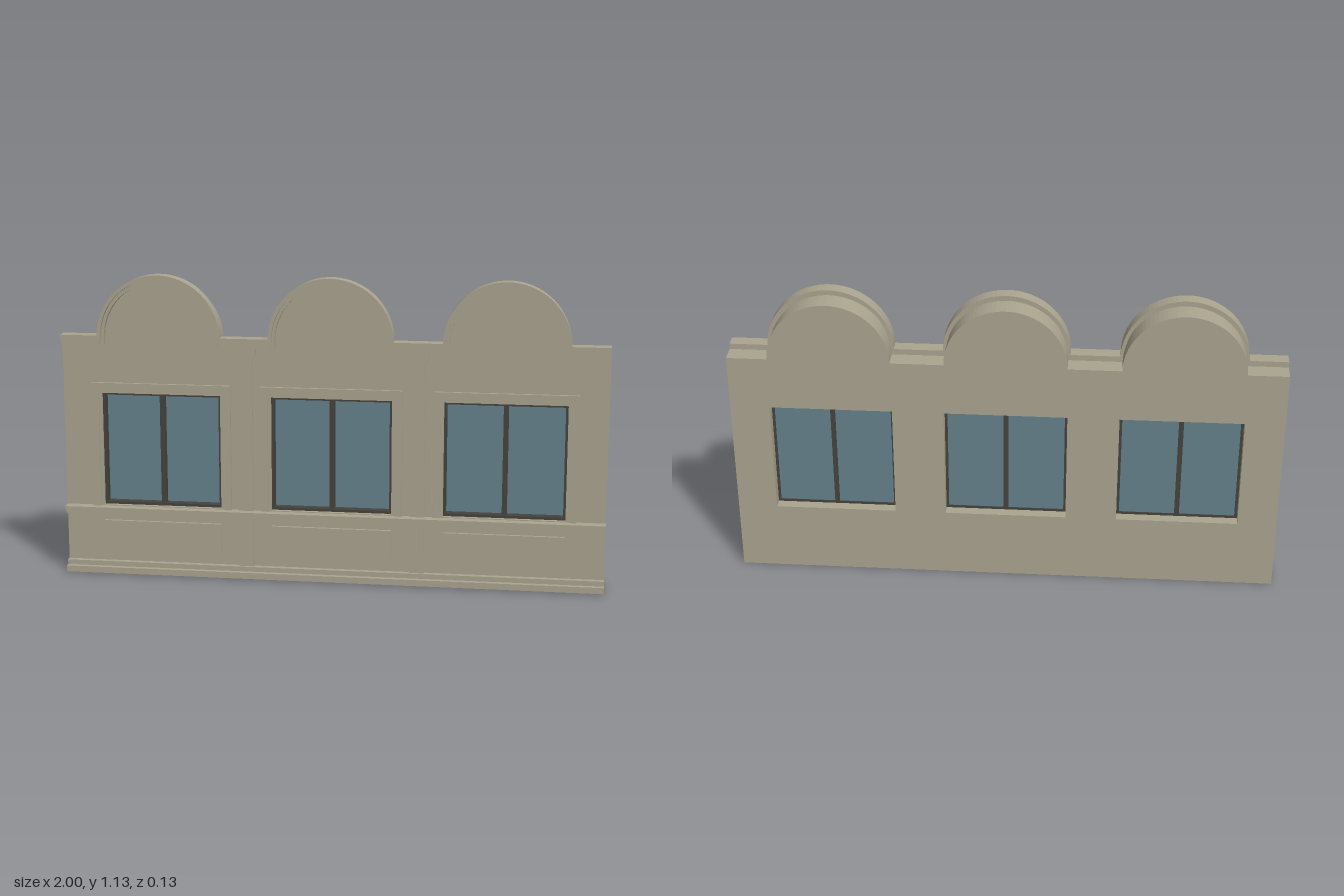
import * as THREE from 'three';

const BAYS = [-0.633, 0, 0.633]; // bay centres
const WALL_BACK = -0.065, WALL_FRONT = 0.025;

export function createModel() {
  const model = new THREE.Group();
  const mat = (name, color) => {
    const m = new THREE.MeshStandardMaterial({ color });
    m.name = name;
    return m;
  };
  const stone = mat('stone', 0xaaa48f);
  const glass = mat('glass', 0x66828d);
  const metal = mat('darkFrame', 0x45433c);

  const add = (name, geo, material, parent = model) => {
    const mesh = new THREE.Mesh(geo, material);
    mesh.name = name;
    parent.add(mesh);
    return mesh;
  };
  // box given by its limits on each axis
  const block = (name, x0, x1, y0, y1, z0, z1, material = stone, parent = model) => {
    const geo = new THREE.BoxGeometry(x1 - x0, y1 - y0, z1 - z0);
    geo.translate((x0 + x1) / 2, (y0 + y1) / 2, (z0 + z1) / 2);
    return add(name, geo, material, parent);
  };
  const extrude = (name, shape, z0, z1, material = stone, parent = model) => {
    const geo = new THREE.ExtrudeGeometry(shape, { depth: z1 - z0, bevelEnabled: false, curveSegments: 20 });
    geo.translate(0, 0, z0);
    return add(name, geo, material, parent);
  };
  const trace = (path, x0, x1, y0, y1) => {
    path.moveTo(x0, y0);
    path.lineTo(x1, y0);
    path.lineTo(x1, y1);
    path.lineTo(x0, y1);
    path.closePath();
    return path;
  };
  // rectangular frame with a rectangular hole
  const frame = (outer, inner) => {
    const shape = trace(new THREE.Shape(), ...outer);
    shape.holes.push(trace(new THREE.Path(), ...inner));
    return shape;
  };
  // half ring standing on short straight legs
  const arch = (outer, inner, foot, y) => {
    const s = new THREE.Shape();
    s.moveTo(outer, foot);
    s.lineTo(outer, y);
    s.absarc(0, y, outer, 0, Math.PI, false);
    s.lineTo(-outer, foot);
    s.lineTo(-inner, foot);
    s.lineTo(-inner, y);
    s.absarc(0, y, inner, Math.PI, 0, true);
    s.lineTo(inner, foot);
    s.closePath();
    return s;
  };

  // wall with round gables and window openings
  const wall = new THREE.Shape();
  wall.moveTo(-1, 0);
  wall.lineTo(1, 0);
  wall.lineTo(1, 0.885);
  for (const x of [...BAYS].reverse()) {
    wall.lineTo(x + 0.22, 0.885);
    wall.absarc(x, 0.885, 0.22, 0, Math.PI, false);
  }
  wall.lineTo(-1, 0.885);
  wall.closePath();
  for (const x of BAYS) wall.holes.push(trace(new THREE.Path(), x - 0.223, x + 0.223, 0.262, 0.688));
  extrude('wall', wall, WALL_BACK, WALL_FRONT);

  // plinth and sill courses
  block('plinthLower', -1, 1, 0.005, 0.028, 0, 0.065);
  block('plinthUpper', -1, 1, 0.028, 0.046, 0, 0.046);
  block('sillTop', -1, 1, 0.246, 0.259, 0.02, 0.065);
  block('sillMoulding', -1, 1, 0.228, 0.246, 0.02, 0.044);

  for (const x of BAYS) {
    const bay = new THREE.Group();
    bay.name = 'bay';
    bay.position.x = x;
    model.add(bay);

    // arched gable crown
    extrude('archCrown', arch(0.228, 0.215, 0.882, 0.903), 0.005, 0.055, stone, bay);
    extrude('archMoulding', arch(0.217, 0.204, 0.87, 0.9), 0.02, 0.043, stone, bay);

    // stepped window casing
    extrude('casing', frame([-0.261, 0.261, 0.255, 0.727], [-0.233, 0.233, 0.2555, 0.696]), 0.02, 0.038, stone, bay);
    extrude('innerCasing', frame([-0.234, 0.234, 0.256, 0.697], [-0.222, 0.222, 0.262, 0.688]), 0.02, 0.03, stone, bay);

    // window
    extrude('windowFrame', frame([-0.223, 0.223, 0.262, 0.688], [-0.213, 0.213, 0.272, 0.679]), -0.026, 0.015, metal, bay);
    block('mullion', -0.009, 0.009, 0.27, 0.68, -0.026, 0.008, metal, bay);
    block('glassPane', -0.214, 0.214, 0.271, 0.68, -0.024, -0.018, glass, bay);

    // apron panel below the sill
    block('apronPanel', -0.222, 0.222, 0.096, 0.203, 0.02, 0.037, stone, bay);
  }

  // pilasters with small capitals
  for (const x of [-0.3165, 0.3165]) {
    block('pilaster', x - 0.0265, x + 0.0265, 0.04, 0.84, 0.02, 0.036);
    block('capital', x - 0.032, x + 0.032, 0.83, 0.85, 0.02, 0.04);
    block('capitalTop', x - 0.04, x + 0.04, 0.845, 0.87, 0.02, 0.043);
  }

  // cornice runs between the arches
  for (const [x0, x1] of [[-1, -0.858], [-0.408, -0.225], [0.225, 0.408], [0.858, 1]]) {
    block('corniceTop', x0, x1, 0.882, 0.906, 0.005, 0.055);
    block('corniceMoulding', x0, x1, 0.868, 0.884, 0.02, 0.045);
  }

  return model;
}
